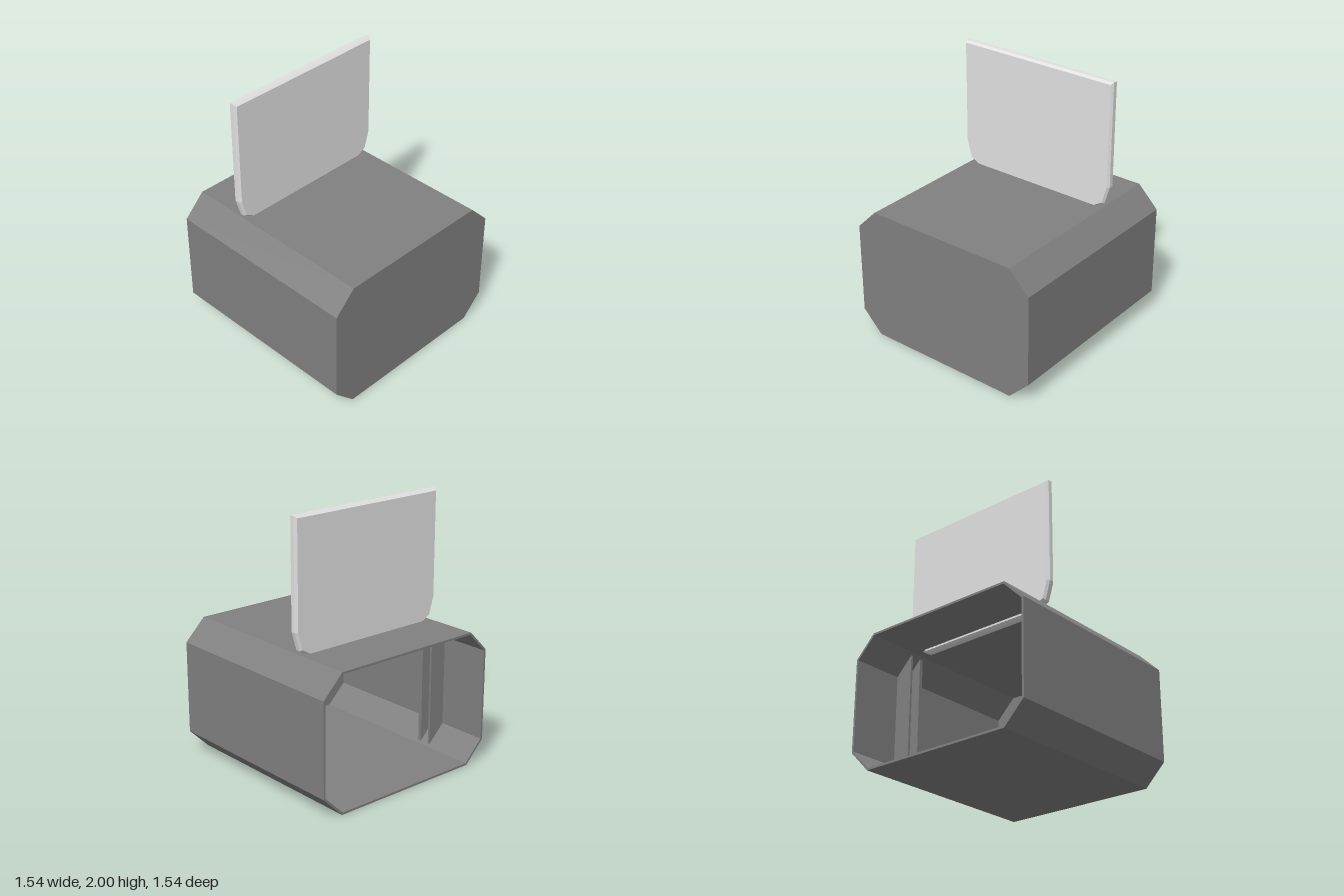
import * as THREE from 'three';

const HALF = 0.772, TOP = 1.03, CUT = 0.162, WALL = 0.016;

// Octagonal outline of the box in z and y, shrunk inwards by t
function outline(t, Type) {
  const w = HALF - t, b = t, h = TOP - t, c = CUT - t * 0.58;
  return new Type([
    [-w + c, b], [w - c, b], [w, b + c], [w, h - c],
    [w - c, h], [-w + c, h], [-w, h - c], [-w, b + c],
  ].map(([z, y]) => new THREE.Vector2(z, y)));
}

// Extrudes a z-y outline along x, starting at x0
function extrudeX(shape, x0, depth, bevel = {}) {
  const g = new THREE.ExtrudeGeometry(shape, { depth, bevelEnabled: false, ...bevel });
  g.rotateY(Math.PI / 2);
  g.translate(x0, 0, 0);
  return g;
}

export function createModel() {
  const group = new THREE.Group();
  group.name = 'boxWithSlidingDoor';
  const bodyGrey = new THREE.MeshStandardMaterial({ color: 0x808080 });
  bodyGrey.name = 'bodyGrey';
  const doorGrey = new THREE.MeshStandardMaterial({ color: 0xe0e0e0 });
  doorGrey.name = 'doorLightGrey';

  const add = (name, geometry, material) => {
    const mesh = new THREE.Mesh(geometry, material);
    mesh.name = name;
    group.add(mesh);
  };

  // Hollow box, open at the -x end
  const ring = outline(0, THREE.Shape);
  ring.holes.push(outline(WALL, THREE.Path));
  add('shell', extrudeX(ring, -HALF, 2 * HALF - WALL), bodyGrey);
  add('endWall', extrudeX(outline(0, THREE.Shape), HALF - WALL, WALL), bodyGrey);

  // Pairs of guide rails inside both side walls, following the chamfers
  for (const side of [-1, 1]) {
    const rail = new THREE.Shape([
      [0.62, 0.01], [HALF - 0.01, CUT], [HALF - 0.01, TOP - CUT], [0.62, TOP - 0.01],
    ].map(([z, y]) => new THREE.Vector2(side * z, y)));
    add('outerRail', extrudeX(rail, -0.38, 0.018), bodyGrey);
    add('innerRail', extrudeX(rail, -0.288, 0.028), bodyGrey);
  }

  // Raised door with bevelled edges and rounded lower corners
  const inset = 0.015;
  const half = [[0.655, 2], [0.655, 1.2], [0.617, 1.07], [0.5, 0.985]]
    .map(([z, y], i) => [z - inset, i === 0 ? y - inset : i === 3 ? y + inset : y]);
  const door = new THREE.Shape([
    ...half, ...half.slice().reverse().map(([z, y]) => [-z, y]),
  ].map(([z, y]) => new THREE.Vector2(z, y)));
  add('slidingDoor', extrudeX(door, -0.343, 0.034, {
    bevelEnabled: true, bevelSegments: 1, bevelThickness: 0.018, bevelSize: inset,
  }), doorGrey);

  return group;
}
